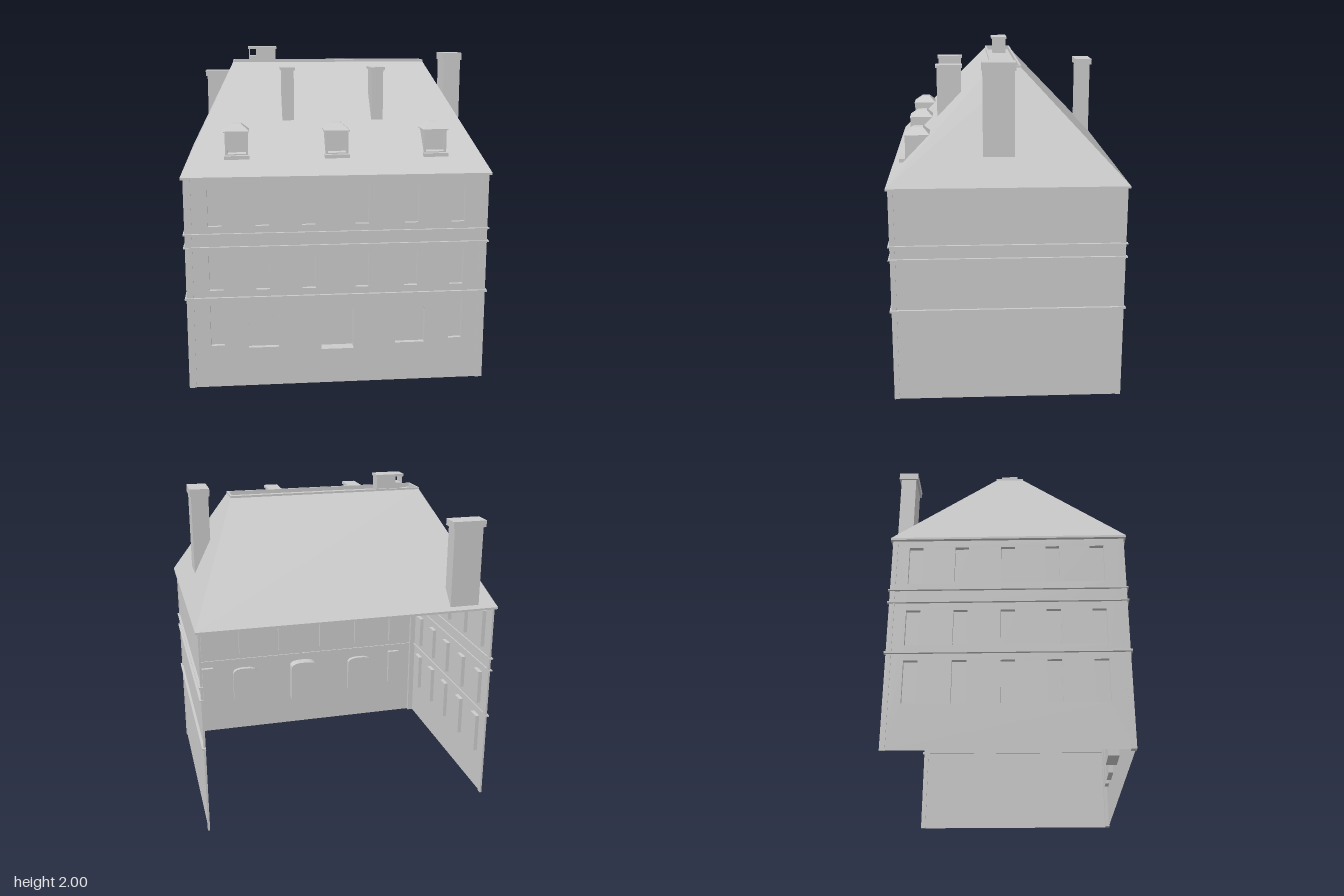
import * as THREE from 'three';

const mat = new THREE.MeshStandardMaterial({ color: 0xcccccc, side: THREE.DoubleSide, flatShading: true });
const V = (x, y, z) => new THREE.Vector3(x, y, z);

// Main dimensions
const WX = 0.89, WZ = 0.662, EAVE = 1.283, EX = 0.91, EZ = 0.68, TOP = 1.905, TX = 0.6, TZ = 0.085;

// Height of the hipped roof above a point
function roofY(x, z) {
  const fx = (EX - Math.abs(x)) / (EX - TX), fz = (EZ - Math.abs(z)) / (EZ - TZ);
  return EAVE + (TOP - EAVE) * Math.min(fx, fz, 1);
}

function add(parent, name, geometry, x = 0, y = 0, z = 0) {
  const m = new THREE.Mesh(geometry, mat);
  m.name = name;
  m.position.set(x, y, z);
  parent.add(m);
  return m;
}

// Box given by its limits
function block(parent, name, x0, x1, y0, y1, z0, z1) {
  return add(parent, name, new THREE.BoxGeometry(x1 - x0, y1 - y0, z1 - z0),
    (x0 + x1) / 2, (y0 + y1) / 2, (z0 + z1) / 2);
}

// Skin between closed convex rings of points, with the last ring capped
function loft(rings, cap = true) {
  const p = [];
  const tri = (...c) => c.forEach(v => p.push(v.x, v.y, v.z));
  for (let r = 0; r + 1 < rings.length; r++) {
    const a = rings[r], b = rings[r + 1], n = a.length;
    for (let i = 0; i < n; i++) {
      const j = (i + 1) % n;
      tri(a[i], a[j], b[j]);
      tri(a[i], b[j], b[i]);
    }
  }
  const l = rings[rings.length - 1];
  if (cap) for (let i = 1; i + 1 < l.length; i++) tri(l[0], l[i], l[i + 1]);
  const g = new THREE.BufferGeometry();
  g.setAttribute('position', new THREE.Float32BufferAttribute(p, 3));
  g.computeVertexNormals();
  return g;
}

// Horizontal rectangle, counter-clockwise seen from above; y may be a function
function rect(x0, x1, y, z0, z1) {
  const h = typeof y === 'function' ? y : () => y;
  return [[x0, z1], [x1, z1], [x1, z0], [x0, z0]].map(([x, z]) => V(x, h(x, z), z));
}
const centred = (hx, y, hz) => rect(-hx, hx, y, -hz, hz);

// Opening outlines in the plane of a wall
function windowOutline(x, y0, y1, w = 0.08) {
  const h = w / 2;
  return [[x - h, y0], [x + h, y0], [x + h, y1], [x - h, y1]].map(c => new THREE.Vector2(...c));
}
function archOutline(x, y0, y1, w) {
  const h = w / 2, pts = [new THREE.Vector2(x - h, y0), new THREE.Vector2(x + h, y0)];
  for (let i = 0; i <= 10; i++) {
    const a = Math.PI * i / 10, c = Math.cos(a);
    pts.push(new THREE.Vector2(x + h * Math.sign(c) * Math.abs(c) ** 0.75, y1 - 0.045 + 0.045 * Math.sin(a) ** 0.75));
  }
  return pts;
}

// Thin wall with recessed openings, facing local +z
function wall(parent, name, half, dist, angle, openings) {
  const g = new THREE.Group();
  g.name = name;
  g.rotation.y = angle;
  const s = new THREE.Shape(
    [[-half, 0], [half, 0], [half, 1.275], [-half, 1.275]].map(c => new THREE.Vector2(...c)));
  for (const { pts, depth } of openings) {
    s.holes.push(new THREE.Path(pts));
    add(g, 'recess', loft([0, -depth].map(z => pts.map(q => V(q.x, q.y, z)))), 0, 0, dist);
  }
  add(g, 'wallPanel', new THREE.ShapeGeometry(s), 0, 0, dist);
  parent.add(g);
}

// Chimney whose foot follows the roof slope
function chimney(parent, name, x0, x1, z0, z1, yCap, yTop, lip) {
  const g = new THREE.Group();
  g.name = name;
  add(g, 'shaft', loft([rect(x0, x1, roofY, z0, z1), rect(x0, x1, yCap, z0, z1)]));
  block(g, 'cap', x0 - lip, x1 + lip, yCap, yTop, z0 - lip, z1 + lip);
  parent.add(g);
}

function dormer(parent, x) {
  const g = new THREE.Group();
  g.name = 'dormer';
  g.position.x = x;
  const h = 0.067, zf = 0.58, zb = 0.442, top = 1.53;
  // Cheeks running back into the roof
  for (const s of [-h, h]) {
    const cheek = new THREE.BufferGeometry().setFromPoints(
      [V(s, roofY(0, zf), zf), V(s, top, zf), V(s, top, zb)]);
    cheek.computeVertexNormals();
    add(g, 'cheek', cheek);
  }
  // Front frame with a recessed window
  const face = new THREE.Shape(windowOutline(0, 1.38, top, 2 * h));
  const pane = windowOutline(0, 1.4, 1.512, 0.108);
  face.holes.push(new THREE.Path(pane));
  add(g, 'frame', new THREE.ShapeGeometry(face), 0, 0, zf);
  add(g, 'window', loft([zf, zf - 0.02].map(z => pane.map(q => V(q.x, q.y, z)))));
  block(g, 'sill', -0.073, 0.073, 1.373, 1.394, 0.56, 0.615);
  // Hipped cap with a small flat top
  add(g, 'dormerRoof', loft([
    rect(-h, h, 1.525, zb, zf), rect(-0.075, 0.075, 1.525, 0.437, 0.583),
    rect(-0.075, 0.075, 1.532, 0.437, 0.583), rect(-0.028, 0.028, 1.572, 0.477, 0.53)]));
  parent.add(g);
}

export function createModel() {
  const model = new THREE.Group();
  model.name = 'townHouse';

  // Front wall: two rows of windows above arched openings
  const rows = [[0.99, 1.225], [0.603, 0.817], [0.26, 0.51]];
  const xs = [-0.72, -0.445, -0.173, 0.143, 0.438, 0.717];
  const front = [];
  rows.forEach(([y0, y1], r) => xs.forEach((x, i) => {
    if (r < 2 || i === 0 || i === 5) front.push({ pts: windowOutline(x, y0, y1), depth: 0.025 });
  }));
  for (const x of [-0.445, 0.438]) front.push({ pts: archOutline(x, 0.24, 0.49, 0.18), depth: 0.03 });
  front.push({ pts: archOutline(-0.002, 0.215, 0.508, 0.196), depth: 0.07 });
  wall(model, 'frontWall', WX, WZ, 0, front);

  // Left-hand (-x) wall with windows, plain wall opposite, back left open
  const side = rows.flatMap(([y0, y1]) => [-0.53, -0.265, 0, 0.255, 0.51].map(
    z => ({ pts: windowOutline(z, y0, y1), depth: 0.025 })));
  wall(model, 'windowedSideWall', WZ, WX, -Math.PI / 2, side);
  wall(model, 'plainSideWall', WZ, WX, Math.PI / 2, []);

  // Corner strips
  for (const sx of [-1, 1]) for (const sz of [-1, 1]) {
    const w = sz > 0 ? 0.042 : 0.012;
    add(model, 'cornerStrip', new THREE.BoxGeometry(w, 1.272, 0.03),
      sx * (0.895 - w / 2), 0.636, sz * 0.653);
  }

  // String courses on the three walls
  for (const [y, t] of [[0.945, 0.008], [0.866, 0.008], [0.556, 0.012]]) {
    block(model, 'frontBand', -0.905, 0.905, y - t / 2, y + t / 2, WZ - 0.008, 0.678);
    for (const s of [-1, 1]) add(model, 'sideBand', new THREE.BoxGeometry(0.023, t, 1.356), s * 0.8935, y, 0);
  }
  block(model, 'keystone', -0.022, 0.018, 0.545, 0.564, WZ - 0.005, 0.683);

  // Hipped roof with eaves and a rimmed flat top
  add(model, 'roof', loft([
    centred(0.885, 1.27, 0.657), centred(EX, 1.27, EZ), centred(EX, EAVE, EZ), centred(TX, TOP, TZ),
    centred(TX, 1.917, TZ), centred(0.588, 1.917, 0.073), centred(0.588, 1.893, 0.073)]));

  for (const x of [-0.585, 0, 0.585]) dormer(model, x);

  // Chimneys
  chimney(model, 'sideChimney', 0.728, 0.832, -0.037, 0.138, 1.915, 1.96, 0.007);
  chimney(model, 'backChimney', -0.79, -0.61, -0.662, -0.572, 1.78, 1.82, 0.012);
  for (const x of [-0.275, 0.262])
    chimney(model, 'frontChimney', x - 0.035, x + 0.035, 0.255, 0.402, 1.87, 1.886, 0.008);

  // Rooftop stack with a square opening through it
  const stack = new THREE.Group();
  stack.name = 'rooftopStack';
  const body = new THREE.Shape(windowOutline(-0.417, 1.893, 1.985, 0.165));
  body.holes.push(new THREE.Path(windowOutline(-0.475, 1.945, 1.983, 0.04)));
  add(stack, 'stackBody', new THREE.ExtrudeGeometry(body, { depth: 0.085, bevelEnabled: false }), 0, 0, -0.045);
  block(stack, 'stackCap', -0.506, -0.328, 1.985, 2.0, -0.053, 0.048);
  model.add(stack);

  return model;
}
